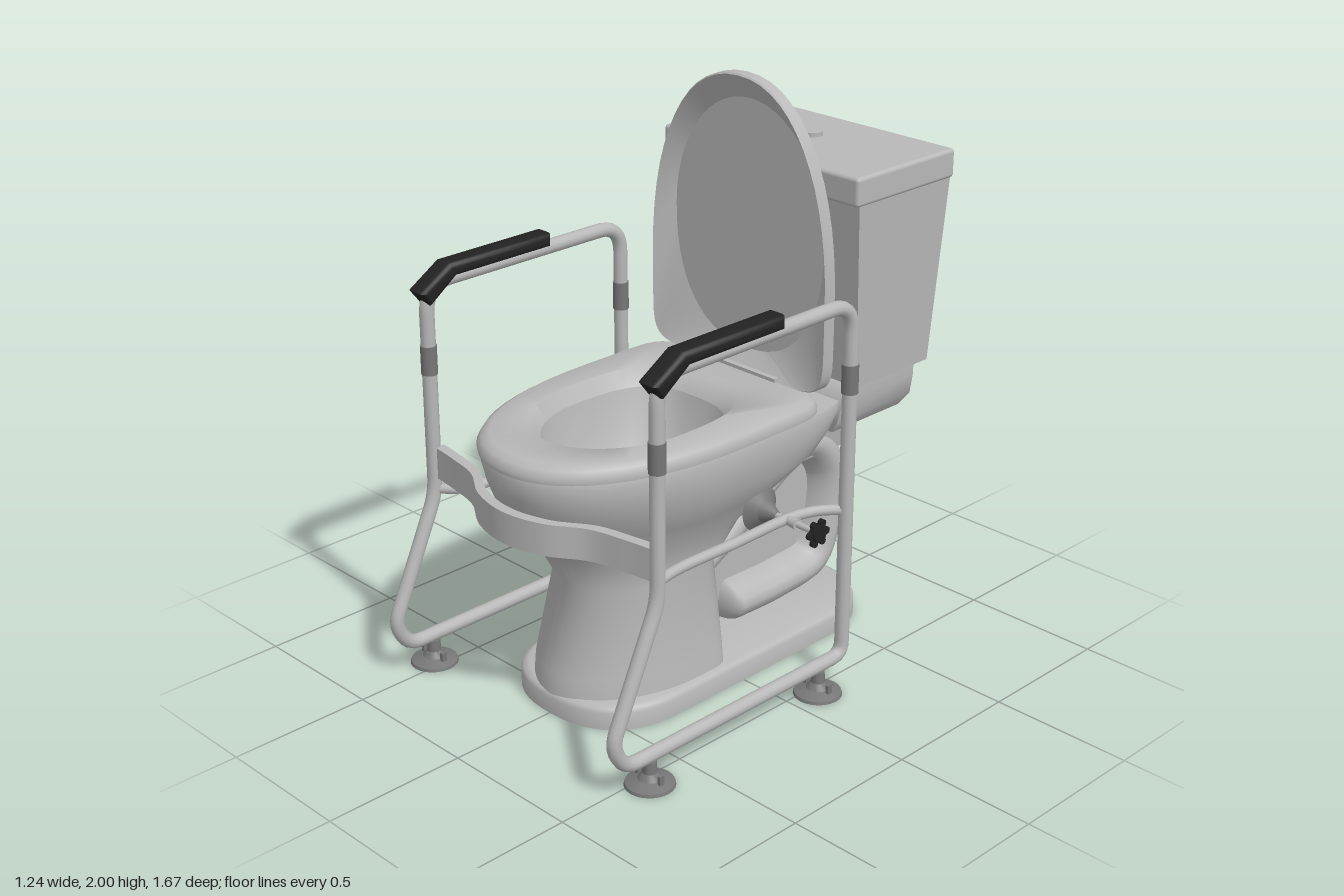
import * as THREE from 'three';
import { toCreasedNormals } from 'three/addons/utils/BufferGeometryUtils.js';
import { RoundedBoxGeometry } from 'three/addons/geometries/RoundedBoxGeometry.js';

const V = (x, y, z) => new THREE.Vector3(x, y, z);

// Egg-shaped horizontal loop: superelliptical front and back halves
function egg(y, hw, zFront, zBack, zMid, nBack = 2, nFront = 2, count = 56) {
  const loop = [];
  for (let i = 0; i < count; i++) {
    const t = (i / count) * Math.PI * 2, c = Math.cos(t), s = Math.sin(t);
    const p = 2 / (s < -1e-6 ? nBack : nFront);
    const x = Math.sign(c) * Math.pow(Math.abs(c), p);
    const z = Math.sign(s) * Math.pow(Math.abs(s), p);
    loop.push(V(x * hw, y, zMid + z * (s >= 0 ? zFront - zMid : zMid - zBack)));
  }
  return loop;
}

// Straight-sided loop with full round ends
const stadium = (y, r, zMid, half) => egg(y, r, r, -r, 0, 2.4, 2.4)
  .map((p) => V(p.x, y, p.z + zMid + (p.z > -1e-6 ? half : -half)));

const rect = (y, hw, zF, zB) => [V(hw, y, zB), V(hw, y, zF), V(-hw, y, zF), V(-hw, y, zB)];

// Skin through loops of equal point count, with optional flat end caps
function loft(loops, crease = 0.6, caps = true) {
  const n = loops[0].length, pos = [], index = [];
  loops.forEach((l) => l.forEach((p) => pos.push(p.x, p.y, p.z)));
  for (let j = 0; j < loops.length - 1; j++) {
    for (let i = 0; i < n; i++) {
      const a = j * n + i, b = j * n + ((i + 1) % n), c = a + n, d = b + n;
      index.push(a, c, b, b, c, d);
    }
  }
  const cap = (j, flip) => {
    const m = loops[j].reduce((s, p) => s.add(p), V(0, 0, 0)).divideScalar(n);
    const k = pos.length / 3;
    pos.push(m.x, m.y, m.z);
    for (let i = 0; i < n; i++) {
      const a = j * n + i, b = j * n + ((i + 1) % n);
      index.push(k, flip ? b : a, flip ? a : b);
    }
  };
  if (caps) {
    cap(0, false);
    cap(loops.length - 1, true);
  }
  const g = new THREE.BufferGeometry();
  g.setAttribute('position', new THREE.Float32BufferAttribute(pos, 3));
  g.setIndex(index);
  return toCreasedNormals(g, crease);
}

// Closed path of straight runs with a corner radius for each point
function roundedLoop(points, radii) {
  const path = new THREE.CurvePath(), n = points.length;
  const toward = (i, j) => points[i].clone().add(points[j].clone().sub(points[i]).setLength(radii[i]));
  for (let i = 0; i < n; i++) {
    const prev = (i + n - 1) % n, next = (i + 1) % n;
    path.add(new THREE.QuadraticBezierCurve3(toward(i, prev), points[i], toward(i, next)));
    path.add(new THREE.LineCurve3(toward(i, next), toward(next, i)));
  }
  return path;
}

export function createModel() {
  const root = new THREE.Group();
  const material = (name, color) => new THREE.MeshStandardMaterial({ name, color });
  const white = material('light grey', 0xb8b8b8);
  const grey = material('mid grey', 0x777777);
  const black = material('black', 0x222222);
  const add = (name, geometry, mat, x = 0, y = 0, z = 0) => {
    const m = new THREE.Mesh(geometry, mat);
    m.name = name;
    m.position.set(x, y, z);
    root.add(m);
    return m;
  };

  // Floor plinth with round ends
  add('plinth', loft([
    stadium(0, 0.305, -0.055, 0.36), stadium(0.06, 0.305, -0.055, 0.36),
    stadium(0.075, 0.298, -0.055, 0.36), stadium(0.082, 0.28, -0.055, 0.36),
  ], 0.8), white);

  // Pedestal and bowl, over the rim and down inside
  add('bowl', loft([
    egg(0.07, 0.28, 0.605, 0.03, 0.2, 6),
    egg(0.15, 0.272, 0.6, 0.03, 0.2, 6),
    egg(0.45, 0.235, 0.52, 0.03, 0.2, 5),
    egg(0.58, 0.262, 0.595, -0.1, 0.16, 4),
    egg(0.69, 0.335, 0.675, -0.28, 0.13, 3.5),
    egg(0.77, 0.375, 0.735, -0.38, 0.1, 4.5, 2.1),
    egg(0.84, 0.388, 0.757, -0.44, 0.1, 5, 2.2),
    egg(0.91, 0.396, 0.775, -0.46, 0.1, 6, 2.2),
    egg(0.932, 0.39, 0.768, -0.46, 0.1, 6, 2.2),
    egg(0.932, 0.248, 0.565, -0.08, 0.24, 3),
    egg(0.8, 0.225, 0.53, -0.05, 0.24, 2.6),
    egg(0.63, 0.16, 0.43, 0.04, 0.24, 2.2),
    egg(0.55, 0.08, 0.33, 0.13, 0.23),
    egg(0.535, 0.02, 0.25, 0.21, 0.23),
  ], 1), white);

  // Seat ring
  add('seat', loft([
    egg(0.93, 0.24, 0.555, -0.07, 0.25, 3),
    egg(0.93, 0.398, 0.782, -0.3, 0.1, 8, 2.2),
    egg(0.95, 0.4, 0.785, -0.3, 0.1, 8, 2.2),
    egg(0.972, 0.39, 0.768, -0.29, 0.1, 8, 2.2),
    egg(0.985, 0.37, 0.74, -0.275, 0.1, 8, 2.2),
    egg(0.985, 0.272, 0.6, -0.11, 0.25, 3),
    egg(0.93, 0.24, 0.555, -0.07, 0.25, 3),
  ], 1, false), white);
  add('hinge', new THREE.BoxGeometry(0.38, 0.02, 0.04), white, 0, 0.987, -0.268);

  // Raised lid with a dished inner face, made flat and then stood up
  add('lid', loft([
    egg(0.312, 0.338, 1.91, 1.04, 1.48, 2.3),
    egg(0.255, 0.397, 1.995, 0.983, 1.3, 8, 2.2),
    egg(0.26, 0.4, 2, 0.98, 1.3, 8, 2.2),
    egg(0.3, 0.4, 2, 0.98, 1.3, 8, 2.2),
    egg(0.342, 0.345, 1.915, 1.03, 1.3, 8, 2.2),
  ], 0.25), white).rotation.x = -Math.PI / 2;

  // Tank, its shelf, cover and flush button
  add('tankShelf', loft([
    rect(0.81, 0.335, -0.38, -0.72), rect(0.86, 0.372, -0.36, -0.735),
    rect(0.932, 0.38, -0.38, -0.74), rect(0.975, 0.38, -0.44, -0.74),
  ], 0.7), white);
  add('tank', loft([rect(0.97, 0.388, -0.436, -0.8), rect(1.64, 0.427, -0.375, -0.832)]), white);
  add('tankCover', new RoundedBoxGeometry(0.88, 0.1, 0.485, 3, 0.014), white, 0, 1.675, -0.594);
  add('flushButton', new THREE.CylinderGeometry(0.039, 0.039, 0.025, 24), white, 0, 1.728, -0.615);
  add('shelfNeck', loft([rect(0.6, 0.12, -0.45, -0.68), rect(0.83, 0.16, -0.44, -0.715)]), white);

  // Looping drain pipe and the web that fills it (z, y pairs)
  const drain = [[0.1, 0.32], [-0.14, 0.45], [-0.38, 0.608], [-0.54, 0.648], [-0.645, 0.53],
    [-0.643, 0.33], [-0.575, 0.18], [-0.4, 0.15], [-0.17, 0.15]];
  const drainCurve = new THREE.CatmullRomCurve3(drain.map(([z, y]) => V(0, y, z)));
  const drainMesh = add('drainPipe', new THREE.TubeGeometry(drainCurve, 64, 0.083, 18), white);
  drainMesh.scale.x = 1.75;
  add('drainEnd', new THREE.SphereGeometry(0.083, 18, 12), white, 0, 0.15, -0.17).scale.set(1.75, 1, 0.5);
  const web = new THREE.Shape([...drain, [0.1, 0.07]].map(([z, y]) => new THREE.Vector2(z, y)));
  const webGeo = new THREE.ExtrudeGeometry(web, { depth: 0.1, bevelEnabled: false });
  webGeo.translate(0, 0, -0.05).rotateY(-Math.PI / 2);
  add('drainWeb', webGeo, white);

  // Curved front band joining the two side frames
  const bandLine = [[0.52, 0.612], [0.4, 0.63], [0.28, 0.658], [0.15, 0.735], [0, 0.766]];
  const bandFull = [...bandLine, ...bandLine.slice(0, -1).reverse().map(([x, z]) => [-x, z])];
  const edge = (off) => bandFull.map(([x, z]) => new THREE.Vector2(x, -(z + off)));
  const outer = edge(0.018), inner = edge(-0.018).reverse();
  const band = new THREE.Shape();
  band.moveTo(outer[0].x, outer[0].y);
  band.splineThru(outer.slice(1));
  band.lineTo(inner[0].x, inner[0].y);
  band.splineThru(inner.slice(1));
  const bandGeo = new THREE.ExtrudeGeometry(band, { depth: 0.11, bevelEnabled: false, curveSegments: 36 });
  bandGeo.rotateX(-Math.PI / 2).translate(0, 0.69, 0);
  add('frontBand', toCreasedNormals(bandGeo, 0.6), white);

  // Side frames: same parts on both sides
  const X = 0.535;
  const pad = new THREE.Shape([[0.135, 1.413], [0.135, 1.4], [0.53, 1.4], [0.63, 1.328],
    [0.648, 1.35], [0.545, 1.413]].map(([z, y]) => new THREE.Vector2(z, y)));
  const padGeo = new THREE.ExtrudeGeometry(pad, {
    depth: 0.046, bevelThickness: 0.018, bevelSize: 0.017, bevelSegments: 3,
  });
  padGeo.translate(0, 0, -0.023).rotateY(-Math.PI / 2);
  const smoothPad = toCreasedNormals(padGeo, 0.8);
  const footGeo = toCreasedNormals(new THREE.LatheGeometry(
    [[0, 0], [0.083, 0], [0.08, 0.01], [0.04, 0.025], [0.024, 0.045], [0.022, 0.085], [0, 0.085]]
      .map(([r, y]) => new THREE.Vector2(r, y)), 24), 0.5);
  const sleeveGeo = new THREE.CylinderGeometry(0.028, 0.028, 0.1, 14);
  const radii = [0.1, 0.06, 0.05, 0.05, 0.05, 0.1];

  for (const s of [1, -1]) {
    const side = s > 0 ? 'left' : 'right';
    const frame = [[0.627, 1.37], [0.627, 0.63], [0.825, 0.2], [0.77, 0.105], [-0.23, 0.105], [-0.23, 1.37]]
      .map(([z, y]) => V(s * X, y, z));
    add(side + 'Frame', new THREE.TubeGeometry(roundedLoop(frame, radii), 200, 0.025, 12, true), white);
    add(side + 'ArmPad', smoothPad, black, s * X);
    for (const z of [0.627, -0.23]) add(side + 'Sleeve', sleeveGeo, grey, s * X, 1.11, z);

    // Suction feet with pull tabs
    for (const z of [0.665, -0.115]) {
      add(side + 'Foot', footGeo, grey, s * X, 0, z);
      for (const d of [-0.05, 0.05]) {
        add(side + 'FootTab', new THREE.BoxGeometry(0.012, 0.035, 0.02), grey, s * X + d, 0.033, z);
      }
    }

    // Inset side rail
    const rail = [[X, -0.23], [0.475, -0.15], [0.45, -0.06], [0.45, 0.2], [0.45, 0.48], [0.475, 0.57], [X, 0.627]]
      .map(([x, z]) => V(s * x, 0.645, z));
    add(side + 'Rail', new THREE.TubeGeometry(new THREE.CatmullRomCurve3(rail), 40, 0.018, 10), white);

    // Bowl clamp: rod, collar, suction cup and star knob along x
    const along = (name, rTop, rBottom, x0, x1, mat, seg = 16) => {
      const g = new THREE.CylinderGeometry(rTop, rBottom, x1 - x0, seg);
      add(side + name, g, mat, (s * (x0 + x1)) / 2, 0.645, -0.035).rotation.z = (-s * Math.PI) / 2;
    };
    along('ClampRod', 0.011, 0.011, 0.33, 0.585, white);
    along('ClampCollar', 0.02, 0.012, 0.43, 0.5, white);
    along('ClampCupNeck', 0.014, 0.04, 0.36, 0.41, grey);
    along('ClampCup', 0.04, 0.08, 0.33, 0.36, grey, 24);
    along('KnobHub', 0.03, 0.03, 0.575, 0.6, black);
    for (let i = 0; i < 6; i++) {
      const a = (i / 6) * Math.PI * 2;
      add(side + 'KnobLobe', new THREE.CylinderGeometry(0.013, 0.013, 0.016, 10), black,
        s * 0.5875, 0.645 + Math.sin(a) * 0.036, -0.035 + Math.cos(a) * 0.036).rotation.z = Math.PI / 2;
    }
  }
  return root;
}
